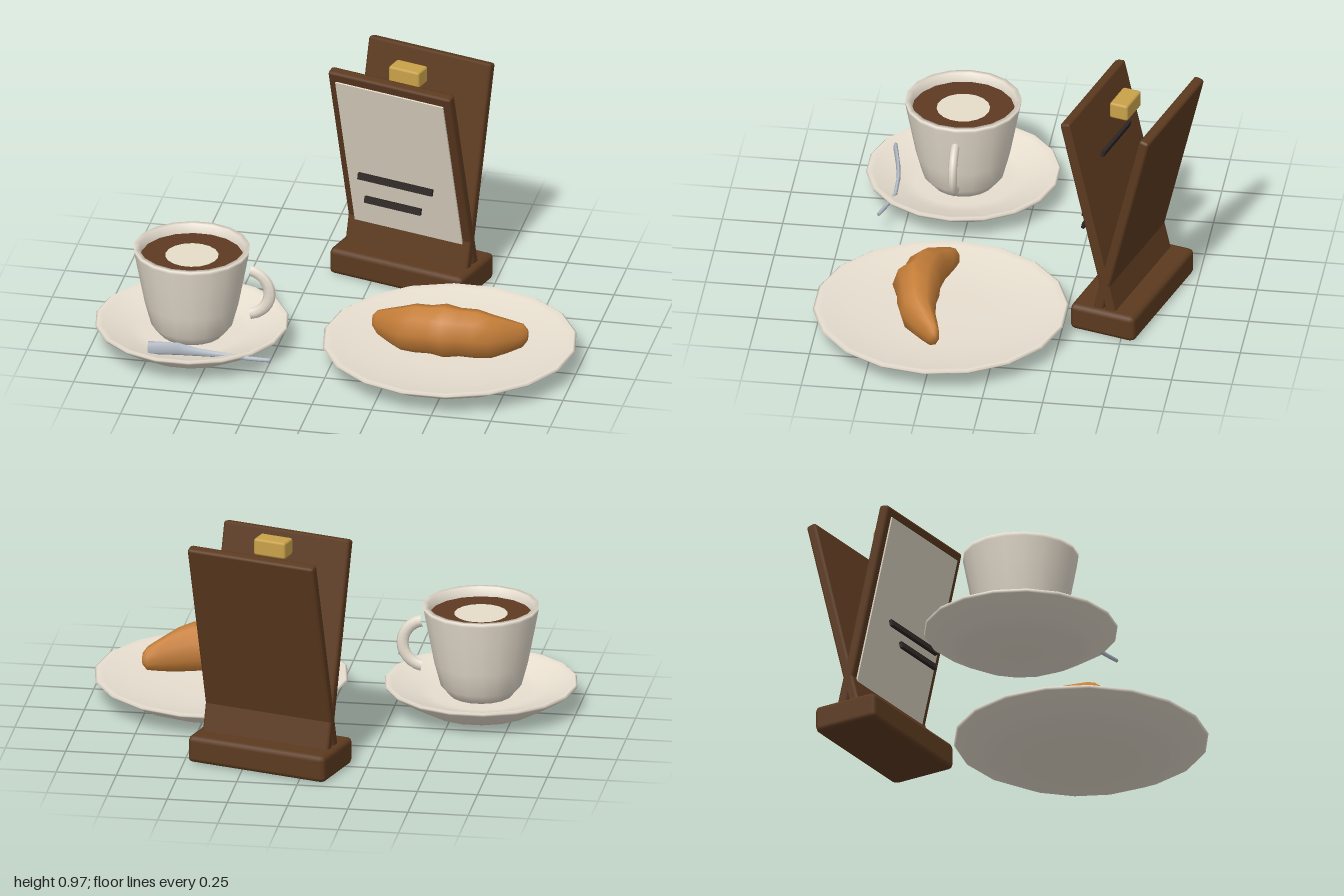
import * as THREE from 'three';
import { RoundedBoxGeometry } from 'three/addons/geometries/RoundedBoxGeometry.js';

const paint = (name, color, side = THREE.FrontSide) => {
  const m = new THREE.MeshStandardMaterial({ color, side });
  m.name = name;
  return m;
};

export function createModel() {
  const ceramic = paint('cream ceramic', 0xe8dfd0);
  const coffeeBrown = paint('coffee brown', 0x5e3a22);
  const foamCream = paint('milk foam', 0xe6dcc8);
  const wood = paint('dark wood', 0x5c3a1f);
  const paper = paint('menu paper', 0xe2d9c6);
  const ink = paint('dark ink', 0x2c2523);
  const brass = paint('brass', 0xc9a24a);
  const pastry = paint('baked pastry', 0xc8803a);
  const steel = paint('steel', 0xb8c0ca);

  const root = new THREE.Group();
  root.name = 'cafeSet';

  const add = (parent, name, geometry, material, x = 0, y = 0, z = 0) => {
    const mesh = new THREE.Mesh(geometry, material);
    mesh.name = name;
    mesh.position.set(x, y, z);
    parent.add(mesh);
    return mesh;
  };
  const group = (name, x = 0, y = 0, z = 0) => {
    const g = new THREE.Group();
    g.name = name;
    g.position.set(x, y, z);
    root.add(g);
    return g;
  };

  // Turned shape from [radius, height] pairs, with a corner on the x axis
  const turned = (profile) => new THREE.LatheGeometry(
    profile.map(([r, y]) => new THREE.Vector2(r, y)), 18).rotateY(Math.PI / 2);

  // Skin over elliptical sections [x, centreY, centreZ, radiusY, radiusZ], x ascending
  const loft = (sections, sides) => {
    const pos = [], index = [], last = sections.length - 1;
    sections.forEach(([x, cy, cz, ry, rz]) => {
      for (let j = 0; j < sides; j++) {
        const a = (j / sides) * Math.PI * 2;
        pos.push(x, cy + ry * Math.sin(a), cz + rz * Math.cos(a));
      }
    });
    for (const k of [0, last]) pos.push(...sections[k].slice(0, 3));
    const startCap = (last + 1) * sides;
    for (let j = 0; j < sides; j++) {
      const n = (j + 1) % sides;
      for (let i = 0; i < last; i++) {
        const a = i * sides + j, b = a + sides, c = i * sides + n, d = c + sides;
        index.push(a, b, d, a, d, c);
      }
      index.push(startCap, j, n);
      index.push(startCap + 1, last * sides + n, last * sides + j);
    }
    const g = new THREE.BufferGeometry();
    g.setAttribute('position', new THREE.Float32BufferAttribute(pos, 3));
    g.setIndex(index);
    g.computeVertexNormals();
    return g;
  };

  // Saucer with cup, handle, coffee and foam
  const cupSet = group('cupAndSaucer', -0.6, 0, 0.3);
  add(cupSet, 'saucer', turned([[0, 0], [0.235, 0], [0.3, 0.035], [0.395, 0.095],
    [0.4, 0.105], [0.392, 0.112], [0.37, 0.104], [0.26, 0.065], [0.2, 0.055], [0, 0.055]]), ceramic);
  add(cupSet, 'cup', turned([[0, 0.055], [0.13, 0.055], [0.168, 0.1], [0.195, 0.2], [0.222, 0.34],
    [0.238, 0.425], [0.24, 0.44], [0.218, 0.44], [0.212, 0.4], [0.18, 0.25], [0, 0.2]]), ceramic);
  const arc = 2.75;
  const handle = add(cupSet, 'cupHandle',
    new THREE.TorusGeometry(0.1, 0.025, 8, 12, arc).rotateZ(-arc / 2), ceramic, 0.226, 0.26, 0);
  handle.scale.z = 0.72;
  const disc = (r) => new THREE.CircleGeometry(r, 18).rotateX(-Math.PI / 2);
  add(cupSet, 'coffee', disc(0.212), coffeeBrown, 0, 0.4, 0);
  add(cupSet, 'foam', disc(0.11), foamCream, 0, 0.404, 0);

  // Spoon resting across the saucer
  add(root, 'spoon', loft([
    [-0.72, 0.112, 0.597, 0.03, 0.01],
    [-0.6, 0.105, 0.57, 0.028, 0.009],
    [-0.52, 0.092, 0.557, 0.018, 0.008],
    [-0.4, 0.088, 0.554, 0.011, 0.008],
    [-0.3, 0.094, 0.575, 0.01, 0.008],
    [-0.21, 0.104, 0.596, 0.009, 0.007],
  ], 8), steel);

  // Plate
  const plateSet = group('plateAndPastry', 0.47, 0, 0.245);
  add(plateSet, 'plate', turned([[0, 0], [0.33, 0], [0.42, 0.035], [0.518, 0.088],
    [0.526, 0.097], [0.516, 0.104], [0.49, 0.098], [0.36, 0.075], [0.2, 0.068], [0, 0.068]]), ceramic);

  // Crescent pastry: half the sections, mirrored about the middle
  const half = [
    [0, 0.19, 0.1, 0.115, 0.1],
    [0.06, 0.185, 0.09, 0.105, 0.084],
    [0.13, 0.18, 0.081, 0.106, 0.082],
    [0.19, 0.168, 0.068, 0.095, 0.072],
    [0.25, 0.158, 0.032, 0.074, 0.055],
    [0.305, 0.15, -0.003, 0.052, 0.034],
    [0.325, 0.15, -0.01, 0.025, 0.016],
  ];
  const mirrored = half.slice(1).reverse().map(([x, ...rest]) => [-x, ...rest]);
  add(plateSet, 'croissant', loft([...mirrored, ...half], 9), pastry);

  // Menu stand: base block and two crossing boards
  const stand = group('menuStand', 0.15, 0, -0.503);
  stand.rotation.y = -0.28;
  const tilt = 0.24;
  add(stand, 'standBase', new RoundedBoxGeometry(0.62, 0.115, 0.29, 1, 0.022), wood, 0, 0.0575, 0);
  for (const [name, s] of [['frontBoard', 1], ['backBoard', -1]]) {
    const board = add(stand, name, new RoundedBoxGeometry(0.57, 0.885, 0.045, 1, 0.012),
      wood, 0, 0.528, s * 0.074);
    board.rotation.x = s * tilt;
    if (s > 0) add(board, 'menuSheet', new THREE.BoxGeometry(0.5, 0.765, 0.009), paper, 0, 0.018, 0.025);
  }

  // Menu lines, on a plane leaning the other way from the front board
  for (const [y, width] of [[0.76, 0.27], [0.645, 0.345], [0.478, 0.345], [0.39, 0.26]]) {
    const line = add(stand, 'menuLine', new THREE.BoxGeometry(width, 0.028, 0.014), ink,
      0, y, 0.1 - (y - 0.645) * 0.245);
    line.rotation.x = -tilt;
  }

  // Brass clip between the board tops
  add(stand, 'brassClip', new RoundedBoxGeometry(0.143, 0.072, 0.082, 1, 0.01), brass, 0, 0.935, 0.03);

  return root;
}
